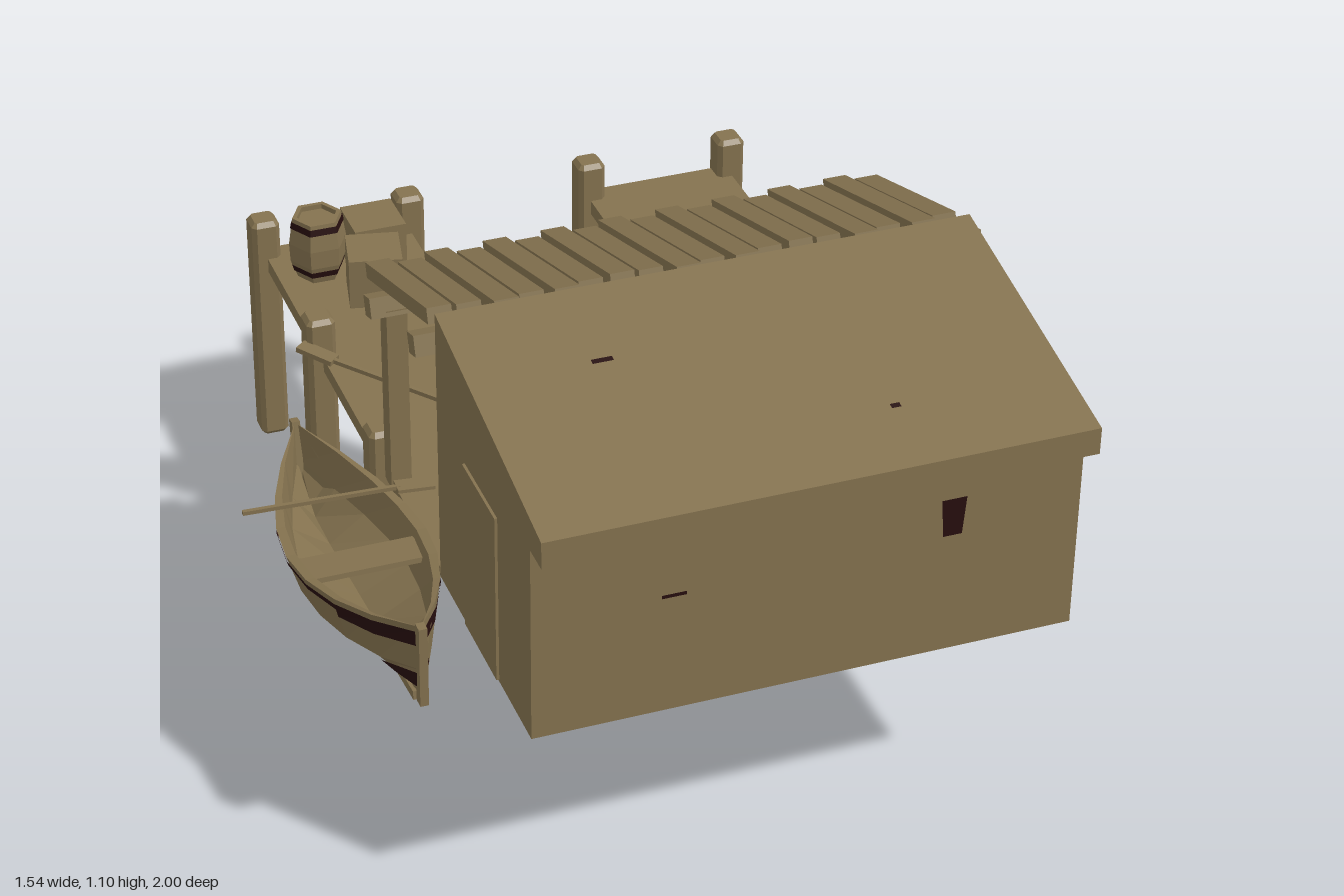
import * as THREE from 'three';

const mat = (name, color) => {
  const m = new THREE.MeshStandardMaterial({ color, side: THREE.DoubleSide, flatShading: true });
  m.name = name;
  return m;
};

export function createModel() {
  const wood = mat('weathered wood', 0x84724f);
  const dark = mat('dark iron', 0x260e0e);
  const model = new THREE.Group();

  const add = (name, geo, pos = [0, 0, 0], rot = [0, 0, 0], m = wood, parent = model) => {
    const mesh = new THREE.Mesh(geo, m);
    mesh.name = name;
    mesh.position.set(...pos);
    mesh.rotation.set(...rot);
    parent.add(mesh);
    return mesh;
  };
  // Box from its lower and upper limits
  const span = (name, x0, x1, y0, y1, z0, z1) =>
    add(name, new THREE.BoxGeometry(x1 - x0, y1 - y0, z1 - z0),
      [(x0 + x1) / 2, (y0 + y1) / 2, (z0 + z1) / 2]);
  const polygon = pts => new THREE.Shape(pts.map(p => new THREE.Vector2(...p)));

  // House: side profile (-z, y) pushed along x
  const houseGeo = new THREE.ExtrudeGeometry(
    polygon([[-0.362, 0.465], [-0.935, 0.465], [-0.935, 0.915], [-1, 0.915], [-1, 0.975], [-0.362, 1.102]]),
    { depth: 1.153, bevelEnabled: false });
  houseGeo.rotateY(Math.PI / 2);
  add('house', houseGeo, [-0.42, 0, 0]);
  span('door', -0.426, -0.42, 0.47, 0.86, 0.54, 0.74);

  // Small tapered window and narrow slits in the front wall and roof
  const pane = polygon([[-0.027, 0.042], [-0.02, -0.045], [0.02, -0.045], [0.027, 0.042]]);
  add('window', new THREE.ShapeGeometry(pane), [0.457, 0.79, 0.938], [0, 0, 0], dark);
  add('wallSlit', new THREE.PlaneGeometry(0.052, 0.008), [-0.128, 0.742, 0.938], [0, 0, 0], dark);
  for (const [x, y, w] of [[-0.145, 1.06, 0.044], [0.365, 1.007, 0.02]])
    add('roofSlit', new THREE.PlaneGeometry(w, 0.012),
      [x, y + 0.003, 0.362 + (1.102 - y) / 0.199], [-1.374, 0, 0], dark);

  // Decks
  span('porchDeck', -0.42, 0.733, 0.465, 0.487, -0.05, 0.36);
  span('rightPier', -0.42, -0.07, 0.452, 0.487, -0.985, -0.05);
  span('leftPier', 0.375, 0.735, 0.452, 0.487, -0.985, -0.05);

  // Mooring posts with slightly chamfered edges and tops
  const r = 0.024, c = 0.019;
  const postGeo = new THREE.ExtrudeGeometry(
    polygon([[-r, -c], [-c, -r], [c, -r], [r, -c], [r, c], [c, r], [-c, r], [-r, c]]),
    { depth: 0.56, bevelThickness: 0.011, bevelSize: 0.009, bevelSegments: 1 });
  postGeo.rotateX(-Math.PI / 2).translate(0, 0.011, 0);
  for (const x of [-0.42, -0.07, 0.38, 0.733])
    for (const z of [-0.047, -0.517, -0.967]) add('pierPost', postGeo, [x, 0, z]);

  // Awning: posts, beams and sloping planks of uneven length
  for (const x of [-0.405, 0.725])
    add('awningPost', new THREE.BoxGeometry(0.045, 0.44, 0.045), [x, 0.705, 0.028]);
  const slope = 0.312;
  add('frontBeam', new THREE.BoxGeometry(1.23, 0.045, 0.045), [0.155, 0.928, 0.025], [-slope, 0, 0]);
  add('wallBeam', new THREE.BoxGeometry(1.23, 0.045, 0.045), [0.155, 1.02, 0.33], [-slope, 0, 0]);
  const awning = new THREE.Group();
  awning.name = 'awningPlanks';
  awning.position.set(0, 0.997, 0.11);
  awning.rotation.x = -slope;
  model.add(awning);
  const highEnd = [0.21, 0.2, 0.25, 0.21, 0.245, 0.2];
  for (let i = 0; i < 18; i++) {
    const hi = highEnd[i % 6], lo = i % 2 ? -0.218 : -0.24;
    add('plank', new THREE.BoxGeometry(0.052, 0.034, hi - lo),
      [-0.393 + i * 0.0647, i % 2 ? -0.003 : 0.003, (hi + lo) / 2], [0, 0, 0], wood, awning);
  }

  // Crates
  const crate = (x, z, s, turn) =>
    add('crate', new THREE.BoxGeometry(s, s, s), [x, 0.487 + s / 2, z], [0, turn, 0]);
  crate(-0.19, -0.845, 0.122, 0);
  crate(-0.23, -0.71, 0.122, -0.22);
  crate(0.46, 0.28, 0.126, 0);

  // Six-sided barrels with a sunken lid and iron hoops
  const staves = [[0, 0], [0.05, 0], [0.066, 0.045], [0.068, 0.09], [0.058, 0.155], [0.047, 0.155], [0.047, 0.143], [0, 0.143]];
  const barrelGeo = new THREE.LatheGeometry(staves.map(p => new THREE.Vector2(...p)), 6);
  const hoop = (y, r0, r1) => new THREE.CylinderGeometry(r1, r0, 0.016, 6, 1, true).translate(0, y, 0);
  for (const [x, z] of [[-0.325, -0.84], [0.29, 0.29]]) {
    const barrel = new THREE.Group();
    barrel.name = 'barrel';
    barrel.position.set(x, 0.487, z);
    barrel.rotation.y = Math.PI / 6;
    model.add(barrel);
    add('staves', barrelGeo, [0, 0, 0], [0, 0, 0], wood, barrel);
    add('lowerHoop', hoop(0.025, 0.058, 0.063), [0, 0, 0], [0, 0, 0], dark, barrel);
    add('upperHoop', hoop(0.138, 0.064, 0.061), [0, 0, 0], [0, 0, 0], dark, barrel);
  }

  // Bar running between two points
  const between = (name, a, b, w, h) => {
    const p = new THREE.Vector3(...a), q = new THREE.Vector3(...b);
    const mesh = add(name, new THREE.BoxGeometry(w, h, p.distanceTo(q)));
    mesh.position.copy(p).add(q).multiplyScalar(0.5);
    mesh.lookAt(q);
  };
  // Oar lying on the pier and oar resting across the boat
  between('oarShaft', [-0.2, 0.493, -0.19], [-0.42, 0.515, -0.435], 0.01, 0.01);
  between('oarBlade', [-0.41, 0.514, -0.425], [-0.47, 0.525, -0.492], 0.035, 0.012);
  between('boatOarShaft', [-0.77, 0.543, 0.115], [-0.43, 0.538, 0.125], 0.009, 0.009);
  between('boatOarBlade', [-0.44, 0.538, 0.124], [-0.36, 0.534, 0.128], 0.04, 0.008);

  // Rowing boat, tilted with its far end raised
  const boat = new THREE.Group();
  boat.name = 'boat';
  boat.position.set(-0.57, 0, 0.312);
  boat.rotation.x = -0.088;
  model.add(boat);
  const half = 0.44;
  const shape = t => {
    const top = 0.525 + 0.05 * t * t, keel = 0.377 + 0.03 * t ** 4;
    return { w: 0.146 * (1 - Math.abs(t) ** 1.9) + 0.005, top, keel, mid: keel + (top - keel) * 0.4 };
  };
  // Lofts a strip of cross-section points along the boat in steps of t
  const loft = (section, t0 = -1, t1 = 1) => {
    const pos = [], idx = [], steps = Math.round((t1 - t0) * 4);
    for (let i = 0; i <= steps; i++) {
      const t = t0 + i / 4, pts = section(shape(t)), n = pts.length;
      for (const [x, y] of pts) pos.push(x, y, t * half);
      if (i) for (let j = 0; j < n - 1; j++) {
        const a = (i - 1) * n + j, b = a + n;
        idx.push(a, a + 1, b, b, a + 1, b + 1);
      }
    }
    const g = new THREE.BufferGeometry();
    g.setAttribute('position', new THREE.Float32BufferAttribute(pos, 3));
    g.setIndex(idx);
    g.computeVertexNormals();
    return g;
  };
  const inBoat = (name, geo, pos, rot, m = wood) => add(name, geo, pos, rot, m, boat);
  const chine = 0.82;
  inBoat('hull', loft(({ w, top, keel, mid }) => {
    const v = w * 0.86;
    return [[-w, top], [-w * chine, mid], [0, keel], [w * chine, mid], [w, top],
      [v, top], [v * chine, mid + 0.012], [0, keel + 0.02], [-v * chine, mid + 0.012], [-v, top], [-w, top]];
  }));
  for (const s of [-1, 1]) {
    // Dark band under the rim, broader at both ends
    for (const [t0, t1, f0, f1] of [[-1, -0.5, 0.12, 0.45], [-0.5, 0.5, 0.12, 0.26], [0.5, 1, 0.12, 0.45]])
      inBoat('rubStrip', loft(({ w, top, mid }) => {
        const at = f => [s * (w * (1 - (1 - chine) * f) + 0.003), top + (mid - top) * f];
        return [at(f0), at(f1)];
      }, t0, t1), [0, 0, 0], [0, 0, 0], dark);
    // Dark patches low on both ends
    for (const t of [-1, 0.75])
      inBoat('endPatch', loft(({ w, keel, mid }) => {
        const at = f => [s * (w * chine * f + 0.003), keel + (mid - keel) * f - 0.002];
        return [at(0.35), at(0.9)];
      }, t, t + 0.25), [0, 0, 0], [0, 0, 0], dark);
    inBoat('stem', new THREE.BoxGeometry(0.018, 0.19, 0.024), [0, 0.487, s * 0.443], [s * 0.1, 0, 0]);
  }
  inBoat('keel', new THREE.BoxGeometry(0.014, 0.02, 0.78), [0, 0.384, 0]);
  inBoat('bench', new THREE.BoxGeometry(0.262, 0.012, 0.09), [0, 0.5, 0.035]);

  return model;
}
